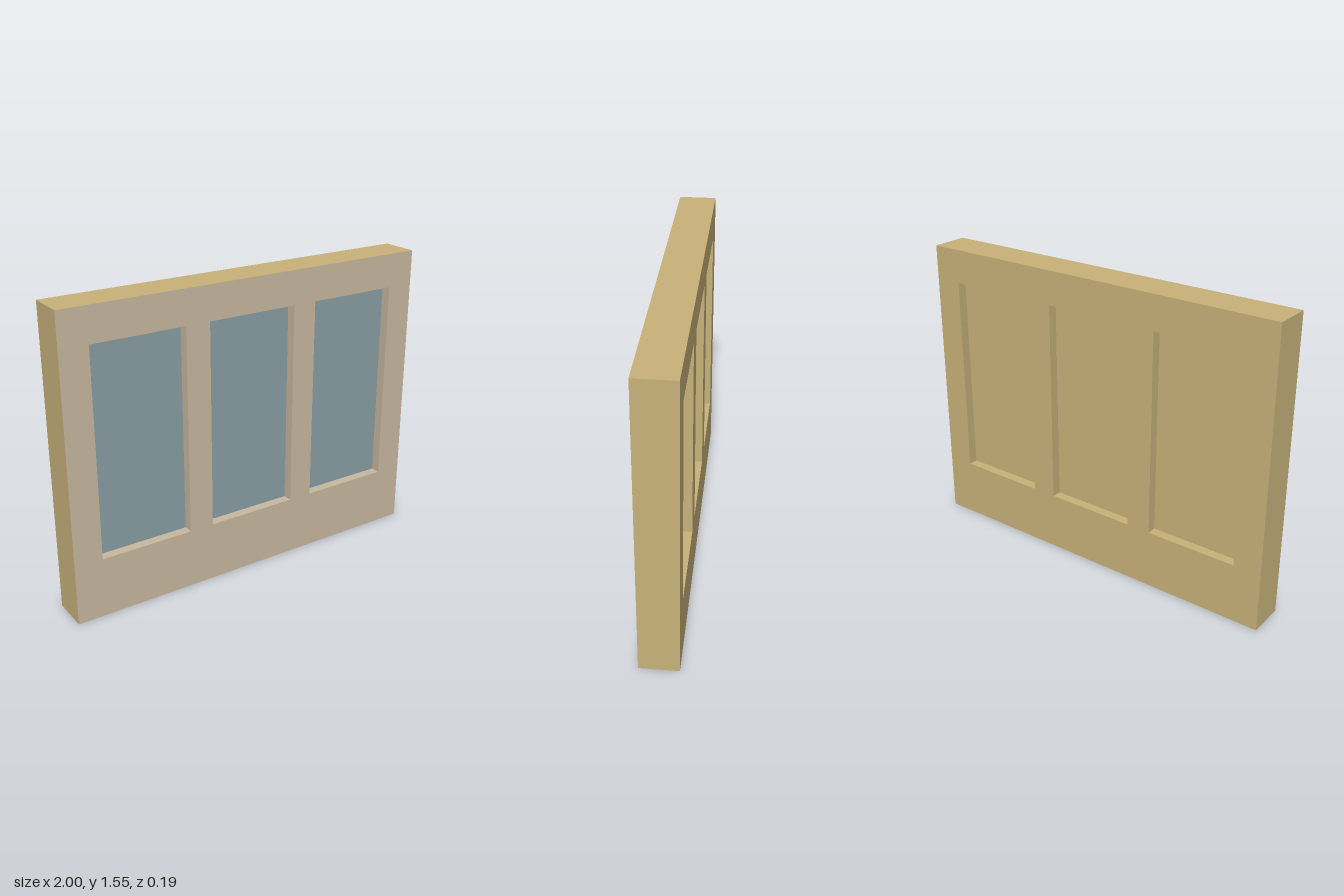
import * as THREE from 'three';

const WIDTH = 2, HEIGHT = 1.55, HALF_DEPTH = 0.0975, PANE_Z = 0.047;
const WINDOW = { width: 0.484, bottom: 0.31, top: 1.374, centres: [-0.613, 0, 0.613] };

function rectangle(target, x0, y0, x1, y1) {
  target.moveTo(x0, y0);
  target.lineTo(x1, y0);
  target.lineTo(x1, y1);
  target.lineTo(x0, y1);
  target.closePath();
  return target;
}

// Half the wall's thickness, with three window openings.
// Material 0 is the face and window reveals, material 1 the outer edges.
function wallHalf() {
  const shape = rectangle(new THREE.Shape(), -WIDTH / 2, 0, WIDTH / 2, HEIGHT);
  for (const x of WINDOW.centres) {
    shape.holes.push(rectangle(new THREE.Path(),
      x - WINDOW.width / 2, WINDOW.bottom, x + WINDOW.width / 2, WINDOW.top));
  }
  const geometry = new THREE.ExtrudeGeometry(shape, { depth: HALF_DEPTH, bevelEnabled: false });
  const [lids, sides] = geometry.groups.map((g) => ({ ...g }));
  const outer = 4 * 6; // four outer edges, two triangles each, come first
  geometry.clearGroups();
  geometry.addGroup(lids.start, lids.count, 0);
  geometry.addGroup(sides.start, outer, 1);
  geometry.addGroup(sides.start + outer, sides.count - outer, 0);
  return geometry;
}

export function createModel() {
  const model = new THREE.Group();
  model.name = 'windowWall';

  const material = (name, color) => {
    const m = new THREE.MeshStandardMaterial({ color });
    m.name = name;
    return m;
  };
  const plaster = material('beigePlaster', 0xc8b9a0);
  const tan = material('tanWall', 0xc8b27a);
  const glass = material('blueGreyGlass', 0x8a9fa5);

  // One side of the wall: its half thickness and the recessed panes
  const addSide = (name, paneName, faceMaterial, paneMaterial, turn) => {
    const side = new THREE.Group();
    side.name = name;
    const wall = new THREE.Mesh(wallHalf(), [faceMaterial, tan]);
    wall.name = name + 'Frame';
    side.add(wall);
    const paneHeight = WINDOW.top - WINDOW.bottom;
    WINDOW.centres.forEach((x, i) => {
      const pane = new THREE.Mesh(new THREE.PlaneGeometry(WINDOW.width, paneHeight), paneMaterial);
      pane.name = paneName + (i + 1);
      pane.position.set(x, WINDOW.bottom + paneHeight / 2, PANE_Z);
      side.add(pane);
    });
    side.rotation.y = turn;
    model.add(side);
  };

  addSide('frontWall', 'windowPane', plaster, glass, 0);
  addSide('backWall', 'backPanel', tan, tan, Math.PI);
  return model;
}
